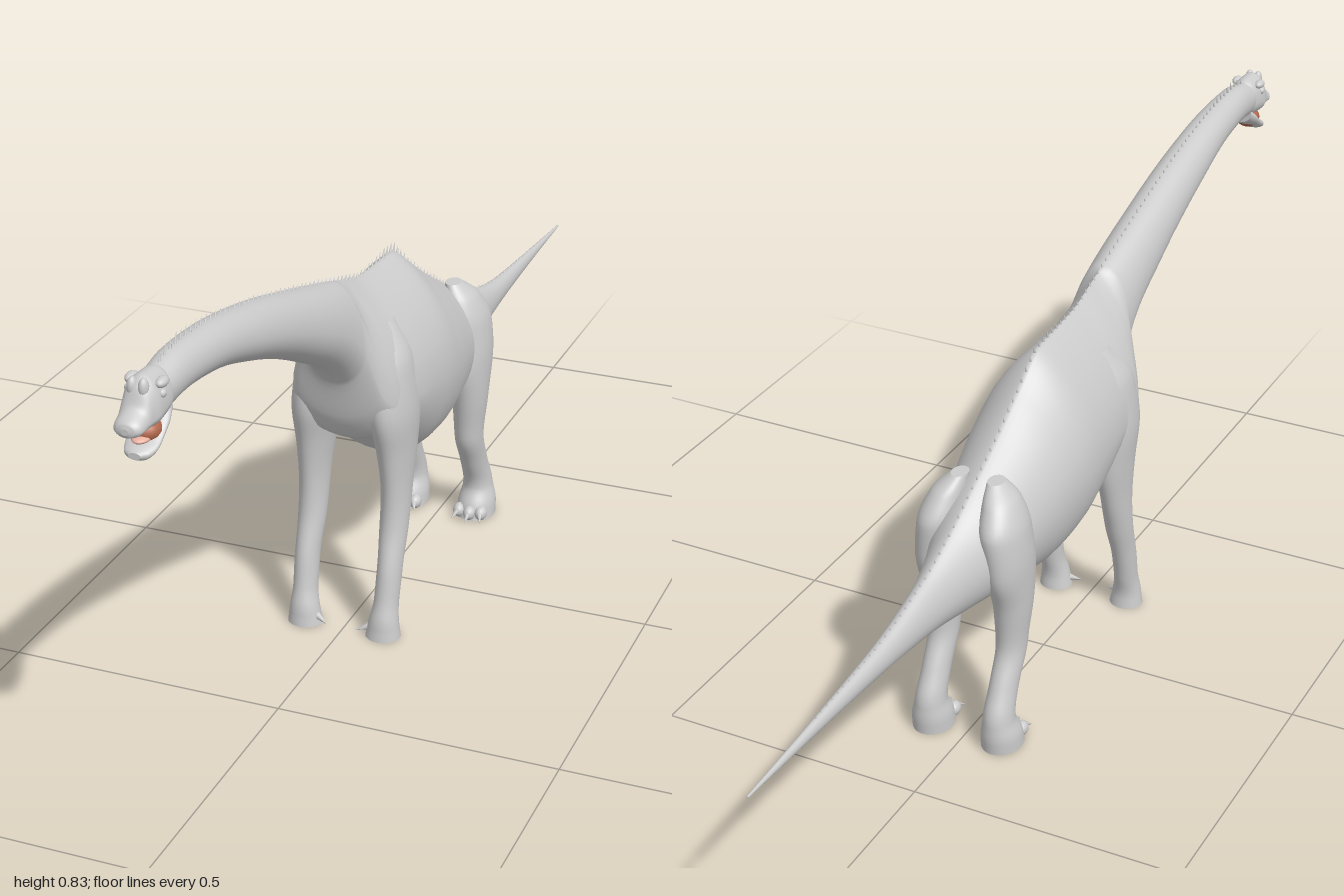
import * as THREE from 'three';

const mat = (color) => new THREE.MeshStandardMaterial({ color, roughness: 0.8 });
const grey = mat(0xcccccc);

// Smooth, overshoot-free interpolation of table rows; column 0 is the station.
function sample(rows, s) {
  let i = 0;
  while (i < rows.length - 2 && s > rows[i + 1][0]) i++;
  const slope = (k, c) => (rows[k + 1][c] - rows[k][c]) / (rows[k + 1][0] - rows[k][0]);
  const tangent = (k, c) => {
    if (k === 0) return slope(0, c);
    if (k === rows.length - 1) return slope(k - 1, c);
    const a = slope(k - 1, c), b = slope(k, c);
    return a * b <= 0 ? 0 : (2 * a * b) / (a + b);
  };
  const h = rows[i + 1][0] - rows[i][0], t = (s - rows[i][0]) / h, t2 = t * t, t3 = t2 * t;
  return rows[i].map((v, c) => c === 0 ? s :
    (2 * t3 - 3 * t2 + 1) * v + (t3 - 2 * t2 + t) * h * tangent(i, c) +
    (3 * t2 - 2 * t3) * rows[i + 1][c] + (t3 - t2) * h * tangent(i + 1, c));
}

// Closed skin through the interpolated rows; ring(row, angle) gives a point.
function loft(name, rows, ring, material = grey, steps = 5, sides = 32) {
  const pos = [], idx = [], stations = [];
  for (let i = 0; i < rows.length - 1; i++)
    for (let k = 0; k < steps; k++)
      stations.push(rows[i][0] + (rows[i + 1][0] - rows[i][0]) * k / steps);
  stations.push(rows[rows.length - 1][0]);
  const addRing = (s) => {
    const row = sample(rows, s), start = pos.length / 3;
    for (let j = 0; j < sides; j++) pos.push(...ring(row, j / sides * Math.PI * 2));
    return start;
  };
  stations.forEach((s, i) => {
    const b = addRing(s), a = b - sides;
    if (i > 0) for (let j = 0; j < sides; j++) {
      const n = (j + 1) % sides;
      idx.push(a + j, a + n, b + n, a + j, b + n, b + j);
    }
  });
  // End caps with their own vertices, so the rims stay crisp
  [stations[0], stations[stations.length - 1]].forEach((s, end) => {
    const a = addRing(s);
    for (let j = 1; j < sides - 1; j++)
      idx.push(a, a + (end ? j : j + 1), a + (end ? j + 1 : j));
  });
  const geo = new THREE.BufferGeometry();
  geo.setAttribute('position', new THREE.Float32BufferAttribute(pos, 3));
  geo.setIndex(idx);
  geo.computeVertexNormals();
  const mesh = new THREE.Mesh(geo, material);
  mesh.name = name;
  return mesh;
}

// Body ring: [z, top, bottom, halfWidth, widestY, upperTaper]
const bodyRing = ([z, top, bottom, w, mid, p], t) => {
  const s = Math.sin(t), c = Math.cos(t);
  return [w * Math.sign(c) * Math.pow(Math.abs(c), s > 0 ? p : 1), mid + s * (s > 0 ? top - mid : mid - bottom), z];
};
// Limb ring: [y, centreZ, radiusZ, centreX, radiusX]
const limbRing = (side) => ([y, cz, rz, cx, rx], t) => [side * cx + rx * Math.cos(t), y, cz - rz * Math.sin(t)];

const BODY = [
  [-1, 0.337, 0.333, 0.002, 0.335, 1], [-0.8, 0.35, 0.325, 0.009, 0.337, 1],
  [-0.6, 0.366, 0.314, 0.018, 0.339, 1], [-0.45, 0.4, 0.3, 0.031, 0.343, 1.2],
  [-0.36, 0.437, 0.285, 0.05, 0.355, 1.4], [-0.28, 0.482, 0.275, 0.077, 0.37, 1.5],
  [-0.18, 0.54, 0.257, 0.097, 0.39, 1.5], [-0.1, 0.592, 0.244, 0.11, 0.41, 1.6],
  [-0.02, 0.64, 0.252, 0.116, 0.425, 1.7], [0.06, 0.645, 0.29, 0.113, 0.435, 1.9],
  [0.13, 0.652, 0.345, 0.108, 0.44, 2.1], [0.19, 0.67, 0.372, 0.1, 0.445, 2.2],
  [0.22, 0.678, 0.415, 0.082, 0.475, 1.8], [0.245, 0.686, 0.5, 0.057, 0.57, 1.1],
  [0.4, 0.732, 0.603, 0.05, 0.66, 1], [0.6, 0.785, 0.69, 0.043, 0.733, 1],
  [0.75, 0.81, 0.733, 0.036, 0.77, 1], [0.84, 0.815, 0.742, 0.032, 0.777, 1],
  [0.91, 0.803, 0.735, 0.028, 0.772, 1],
];
const SKULL = [
  [0.885, 0.8, 0.745, 0.02, 0.772, 1], [0.905, 0.811, 0.735, 0.03, 0.765, 1],
  [0.94, 0.813, 0.732, 0.031, 0.757, 1], [0.958, 0.801, 0.735, 0.027, 0.752, 1],
  [0.972, 0.774, 0.736, 0.025, 0.75, 1], [0.988, 0.765, 0.735, 0.023, 0.747, 1],
  [0.997, 0.759, 0.737, 0.016, 0.747, 1], [1, 0.752, 0.742, 0.006, 0.747, 1],
];
const JAW = [
  [0.89, 0.762, 0.725, 0.022, 0.745, 1], [0.915, 0.74, 0.71, 0.027, 0.728, 1],
  [0.945, 0.716, 0.694, 0.027, 0.707, 1], [0.965, 0.708, 0.688, 0.021, 0.699, 1],
  [0.974, 0.703, 0.692, 0.01, 0.698, 1],
];
const FRONT_LEG = [
  [0, 0.207, 0.03, 0.075, 0.032], [0.025, 0.207, 0.027, 0.076, 0.028], [0.07, 0.197, 0.026, 0.078, 0.022],
  [0.13, 0.183, 0.029, 0.079, 0.022], [0.2, 0.161, 0.032, 0.078, 0.025], [0.27, 0.148, 0.042, 0.078, 0.026],
  [0.35, 0.142, 0.06, 0.076, 0.032], [0.43, 0.145, 0.075, 0.071, 0.04], [0.51, 0.145, 0.065, 0.06, 0.04],
  [0.58, 0.13, 0.03, 0.04, 0.022],
];
const HIND_LEG = [
  [0, -0.302, 0.045, 0.069, 0.037], [0.025, -0.306, 0.043, 0.069, 0.036], [0.06, -0.313, 0.034, 0.068, 0.028],
  [0.12, -0.289, 0.033, 0.067, 0.025], [0.19, -0.259, 0.034, 0.067, 0.027], [0.27, -0.257, 0.045, 0.069, 0.033],
  [0.35, -0.264, 0.064, 0.068, 0.037], [0.42, -0.268, 0.064, 0.06, 0.039], [0.47, -0.26, 0.045, 0.05, 0.03],
  [0.5, -0.25, 0.02, 0.035, 0.015],
];

function ball(name, material, x, y, z, rx, ry, rz) {
  const mesh = new THREE.Mesh(new THREE.SphereGeometry(1, 16, 12), material);
  mesh.name = name;
  mesh.position.set(x, y, z);
  mesh.scale.set(rx, ry, rz);
  return mesh;
}

// Cone whose base sits at `from` and whose point follows `dir`
function spike(name, from, dir, radius, length) {
  const geo = new THREE.ConeGeometry(radius, length, 8).translate(0, length / 2, 0);
  const mesh = new THREE.Mesh(geo, grey);
  mesh.name = name;
  mesh.position.set(...from);
  mesh.quaternion.setFromUnitVectors(new THREE.Vector3(0, 1, 0), new THREE.Vector3(...dir).normalize());
  return mesh;
}

export function createModel() {
  const model = new THREE.Group();
  model.name = 'longNeckedDinosaur';
  model.add(loft('bodyNeckAndTail', BODY, bodyRing, grey, 6, 40));

  // Head with an open mouth
  const head = new THREE.Group();
  head.name = 'head';
  head.add(loft('skull', SKULL, bodyRing), loft('lowerJaw', JAW, bodyRing));
  head.add(ball('mouthLining', mat(0xb0664a), 0, 0.722, 0.93, 0.023, 0.019, 0.026));
  head.add(ball('tongue', mat(0xe8b0a0), 0, 0.716, 0.948, 0.014, 0.006, 0.02));
  for (const side of [1, -1]) {
    head.add(ball('brow', grey, side * 0.024, 0.798, 0.925, 0.009, 0.008, 0.015));
    head.add(ball('eye', grey, side * 0.027, 0.783, 0.93, 0.006, 0.007, 0.008));
    head.add(ball('nostrilRidge', grey, side * 0.009, 0.797, 0.953, 0.008, 0.016, 0.01));
  }
  model.add(head);

  // Legs, toes and claws on both sides
  for (const side of [1, -1]) {
    const word = side > 0 ? 'left' : 'right';
    const front = new THREE.Group(), hind = new THREE.Group();
    front.name = word + 'FrontLeg';
    hind.name = word + 'HindLeg';
    front.add(loft('foreLimb', FRONT_LEG, limbRing(side)));
    front.add(spike('thumbClaw', [side * 0.05, 0.016, 0.212], [-side, -0.35, 0.5], 0.007, 0.027));
    hind.add(loft('hindLimb', HIND_LEG, limbRing(side)));
    [0.046, 0.069, 0.09].forEach((x, i) => {
      const z = i === 1 ? -0.263 : -0.27;
      hind.add(ball('toe', grey, side * x, 0.014, z, 0.012, 0.014, 0.016));
      hind.add(spike('toeClaw', [side * x, 0.016, z + 0.01], [side * (i - 1) * 0.4, -0.5, 1], 0.006, 0.022));
    });
    model.add(front, hind);
  }

  // Row of small spines along the back, tallest behind the head and over the shoulders
  const spines = new THREE.Group();
  spines.name = 'dorsalSpines';
  for (let z = 0.885; z > -0.8; z -= 0.017) {
    const bump = (at, width) => Math.exp(-(((z - at) / width) ** 2));
    const length = 0.011 + 0.011 * bump(0.83, 0.1) + 0.01 * bump(0, 0.07) - 0.006 * Math.max(0, -z - 0.2);
    spines.add(spike('spine', [0, sample(BODY, z)[1] - 0.003, z], [0, 1, -0.35], 0.0028, length));
  }
  model.add(spines);
  return model;
}
